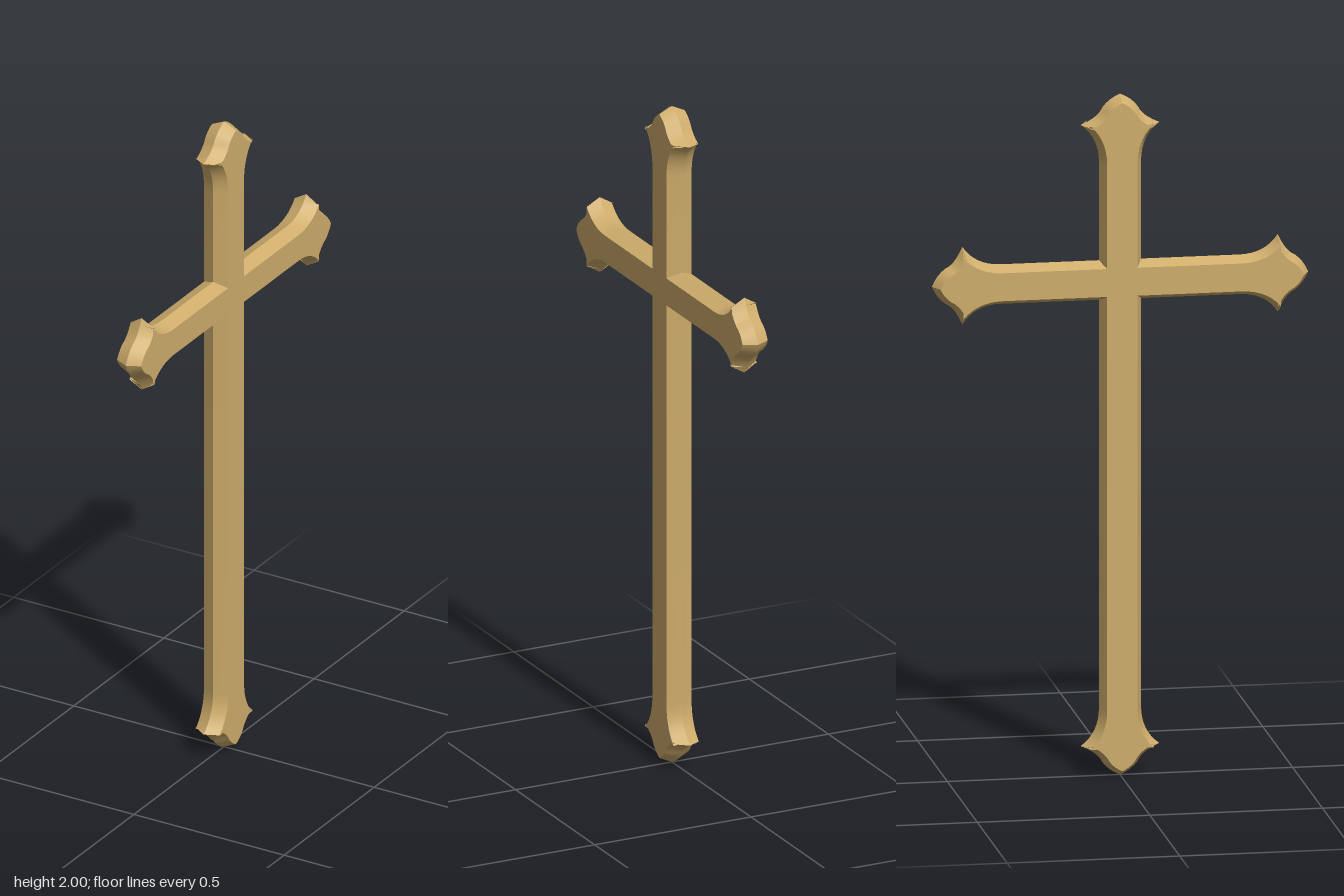
import * as THREE from 'three';
import { toCreasedNormals } from 'three/addons/utils/BufferGeometryUtils.js';

const CROSS_Y = 1.455;            // height of the crossing
const HALF_V = 0.061, HALF_H = 0.058; // half widths of upright and crossbar
const BEVEL = 0.017, HALF_DEPTH = 0.04;

// One side of a flared arm end, from the bar to the tip: x = across, y = distance from tip
function endProfile(w) {
  const v = (x, y) => new THREE.Vector2(x, y);
  const flare = new THREE.QuadraticBezierCurve(v(w, 0.2), v(w, 0.125), v(0.114, 0.088));
  const hollow = new THREE.QuadraticBezierCurve(v(0.114, 0.088), v(0.072, 0.07), v(0.058, 0.05));
  const nose = new THREE.QuadraticBezierCurve(v(0.058, 0.05), v(0.042, 0.017), v(0, 0));
  return [...flare.getPoints(8), ...hollow.getPoints(4).slice(1), ...nose.getPoints(5).slice(1)];
}

// Full arm outline, counter-clockwise, pointing along the given angle
function armPoints(angle, length, w) {
  const side = endProfile(w);
  const mirrored = side.slice(0, -1).reverse().map((p) => new THREE.Vector2(-p.x, p.y));
  const c = Math.cos(angle), s = Math.sin(angle);
  return [...side, ...mirrored].map((p) => {
    const along = length - p.y;
    return new THREE.Vector2(c * along + s * p.x, CROSS_Y + s * along - c * p.x);
  });
}

export function createModel() {
  const group = new THREE.Group();
  group.name = 'cross';
  const brass = new THREE.MeshStandardMaterial({ color: 0xd0ae6c });
  brass.name = 'pale brass';

  // Four arms joined by the inner corners of the crossing
  const arms = [[0.545, HALF_H], [2 - CROSS_Y, HALF_V], [0.545, HALF_H], [CROSS_Y, HALF_V]];
  const corners = [[1, 1], [-1, 1], [-1, -1], [1, -1]];
  const outline = arms.flatMap(([length, w], i) => [
    ...armPoints((i * Math.PI) / 2, length, w),
    new THREE.Vector2(corners[i][0] * HALF_V, CROSS_Y + corners[i][1] * HALF_H),
  ]);

  // Bevels from both faces meet in a ridge around the edge
  const depth = 0.0005;
  const geometry = new THREE.ExtrudeGeometry(new THREE.Shape(outline), {
    depth, steps: 1, bevelEnabled: true, bevelSegments: 1,
    bevelThickness: HALF_DEPTH, bevelSize: BEVEL, bevelOffset: -BEVEL,
  });
  geometry.translate(0, 0, -depth / 2);
  geometry.rotateY(Math.PI / 2);

  const body = new THREE.Mesh(toCreasedNormals(geometry, 0.3), brass);
  body.name = 'crossBody';
  group.add(body);
  return group;
}
